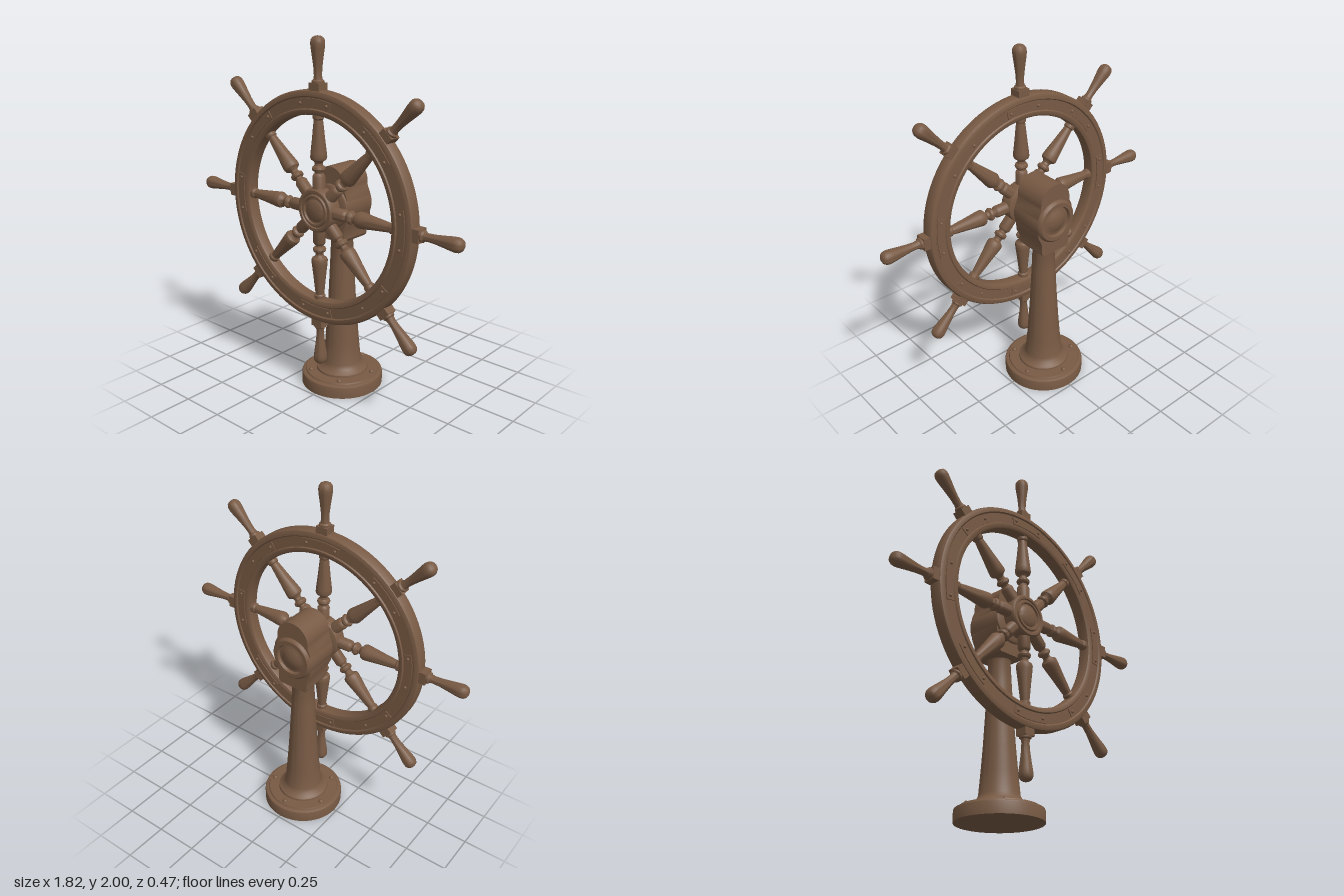
import * as THREE from 'three';
import { toCreasedNormals } from 'three/addons/utils/BufferGeometryUtils.js';

const wood = new THREE.MeshStandardMaterial({ color: 0x785a44 });
wood.name = 'brown wood';

function add(parent, name, geometry, x = 0, y = 0, z = 0) {
  const mesh = new THREE.Mesh(geometry, wood);
  mesh.name = name;
  mesh.position.set(x, y, z);
  parent.add(mesh);
  return mesh;
}

// Turned part about the y axis from [radius, height] pairs
function turned(points, segments = 48) {
  const profile = points.map(([r, y]) => new THREE.Vector2(r, y));
  return toCreasedNormals(new THREE.LatheGeometry(profile, segments), 0.6);
}

// Turned part whose axis points along z
const turnedZ = (points, segments) => turned(points, segments).rotateX(Math.PI / 2);

// Curved plate centred on the spoke at angle 0
function arcPlate(inner, outer, half, depth) {
  const shape = new THREE.Shape();
  shape.absarc(0, 0, outer, -half, half, false);
  shape.absarc(0, 0, inner, half, -half, true);
  return new THREE.ExtrudeGeometry(shape, { depth, bevelEnabled: false, curveSegments: 12 })
    .translate(0, 0, -depth / 2);
}

function createPedestal() {
  const pedestal = new THREE.Group();
  pedestal.name = 'pedestal';
  add(pedestal, 'base', turned([
    [0, 0], [0.235, 0], [0.235, 0.06], [0.232, 0.068], [0.222, 0.073], [0.212, 0.074],
    [0.208, 0.082], [0.15, 0.084], [0.148, 0.095], [0.135, 0.103], [0.118, 0.118], [0.109, 0.14],
    [0.098, 0.26], [0.087, 0.4], [0.076, 0.58], [0.068, 0.74], [0.062, 0.87], [0.066, 0.885],
    [0.085, 0.895], [0.085, 0.91], [0, 0.91]], 64));
  // Five bolts around the foot
  for (let i = 0; i < 5; i++) {
    const a = i * Math.PI * 2 / 5;
    const bolt = add(pedestal, 'baseBolt', new THREE.SphereGeometry(0.015, 12, 8),
      Math.sin(a) * 0.185, 0.083, -Math.cos(a) * 0.185);
    bolt.scale.y = 0.9;
  }
  return pedestal;
}

function createHousing() {
  const housing = new THREE.Group();
  housing.name = 'housing';
  // Gear case with arched top
  const outline = new THREE.Shape();
  outline.moveTo(-0.085, 0.895);
  outline.lineTo(0.085, 0.895);
  outline.lineTo(0.095, 0.91);
  outline.lineTo(0.095, 0.97);
  outline.lineTo(0.118, 1.02);
  outline.lineTo(0.118, 1.15);
  outline.lineTo(0.1, 1.19);
  outline.lineTo(0.1, 1.21);
  outline.absarc(0, 1.21, 0.1, 0, Math.PI, false);
  outline.lineTo(-0.1, 1.19);
  outline.lineTo(-0.118, 1.15);
  outline.lineTo(-0.118, 1.02);
  outline.lineTo(-0.095, 0.97);
  outline.lineTo(-0.095, 0.91);
  outline.closePath();
  const body = new THREE.ExtrudeGeometry(outline,
    { depth: 0.196, bevelEnabled: false, curveSegments: 24 }).translate(0, 0, -0.098);
  add(housing, 'gearCase', toCreasedNormals(body, 0.5));
  // Round bearing drum with a domed cap at each end
  add(housing, 'bearingDrum', turnedZ([
    [0, -0.12], [0.03, -0.117], [0.055, -0.109], [0.07, -0.1], [0.085, -0.1], [0.09, -0.117],
    [0.112, -0.117], [0.122, -0.108], [0.126, -0.095], [0.126, 0.095], [0.122, 0.107],
    [0.112, 0.113], [0.06, 0.113], [0, 0.113]]), 0, 1.09, 0);
  add(housing, 'shaft', new THREE.CylinderGeometry(0.05, 0.05, 0.1, 32).rotateX(Math.PI / 2),
    0, 1.09, 0.13);
  return housing;
}

function createSpoke() {
  const spoke = new THREE.Group();
  spoke.name = 'spoke';
  // Inner baluster, running out along y
  add(spoke, 'baluster', turned([
    [0, 0.06], [0.034, 0.06], [0.034, 0.185], [0.028, 0.195], [0.022, 0.2], [0.022, 0.208],
    [0.033, 0.215], [0.037, 0.225], [0.033, 0.236], [0.023, 0.243], [0.021, 0.255], [0.026, 0.265],
    [0.041, 0.275], [0.045, 0.287], [0.043, 0.31], [0.035, 0.38], [0.028, 0.45],
    [0.024, 0.485], [0.03, 0.492], [0.03, 0.53], [0, 0.53]], 24));
  add(spoke, 'rimSocket', new THREE.BoxGeometry(0.07, 0.075, 0.066), 0, 0.6375, 0);
  // Outer hand grip
  add(spoke, 'handle', turned([
    [0, 0.66], [0.032, 0.66], [0.032, 0.685], [0.024, 0.692], [0.021, 0.71], [0.023, 0.75],
    [0.029, 0.8], [0.036, 0.85], [0.038, 0.872], [0.036, 0.889], [0.028, 0.902], [0.015, 0.909],
    [0, 0.911]], 24));
  return spoke;
}

function createWheel() {
  const wheel = new THREE.Group();
  wheel.name = 'wheel';
  wheel.position.set(0, 1.09, 0.187);
  // Moulded rim, a closed section swept round the axle
  add(wheel, 'rim', turnedZ([
    [0.64, -0.026], [0.64, 0.026], [0.634, 0.036], [0.622, 0.041], [0.608, 0.041], [0.602, 0.034],
    [0.545, 0.034], [0.54, 0.041], [0.525, 0.041], [0.514, 0.034], [0.51, 0.024],
    [0.51, -0.024], [0.514, -0.034], [0.525, -0.041], [0.54, -0.041], [0.545, -0.034],
    [0.602, -0.034], [0.608, -0.041], [0.622, -0.041], [0.634, -0.036], [0.64, -0.026]], 96));
  // Hub with rings and a central dome
  add(wheel, 'hub', turnedZ([
    [0, -0.045], [0.1, -0.045], [0.118, -0.036], [0.122, -0.025], [0.122, 0.025], [0.118, 0.036],
    [0.112, 0.041], [0.098, 0.041], [0.094, 0.034], [0.088, 0.034], [0.084, 0.043],
    [0.074, 0.043], [0.07, 0.034], [0.062, 0.034], [0.054, 0.04], [0.035, 0.046], [0, 0.049]]));
  const plate = arcPlate(0.55, 0.597, 0.2, 0.078);
  const rivet = new THREE.SphereGeometry(0.009, 10, 8);
  for (let i = 0; i < 8; i++) {
    const a = i * Math.PI / 4;
    const spoke = createSpoke();
    spoke.rotation.z = a;
    wheel.add(spoke);
    add(wheel, 'rimPlate', plate).rotation.z = a;
    // Rivets at both ends of the plate, on both faces
    for (const da of [-0.16, 0.16]) {
      for (const z of [-0.039, 0.039]) {
        add(wheel, 'rimRivet', rivet, Math.cos(a + da) * 0.574, Math.sin(a + da) * 0.574, z);
      }
    }
  }
  return wheel;
}

export function createModel() {
  const model = new THREE.Group();
  model.name = 'shipWheel';
  model.add(createPedestal(), createHousing(), createWheel());
  return model;
}
